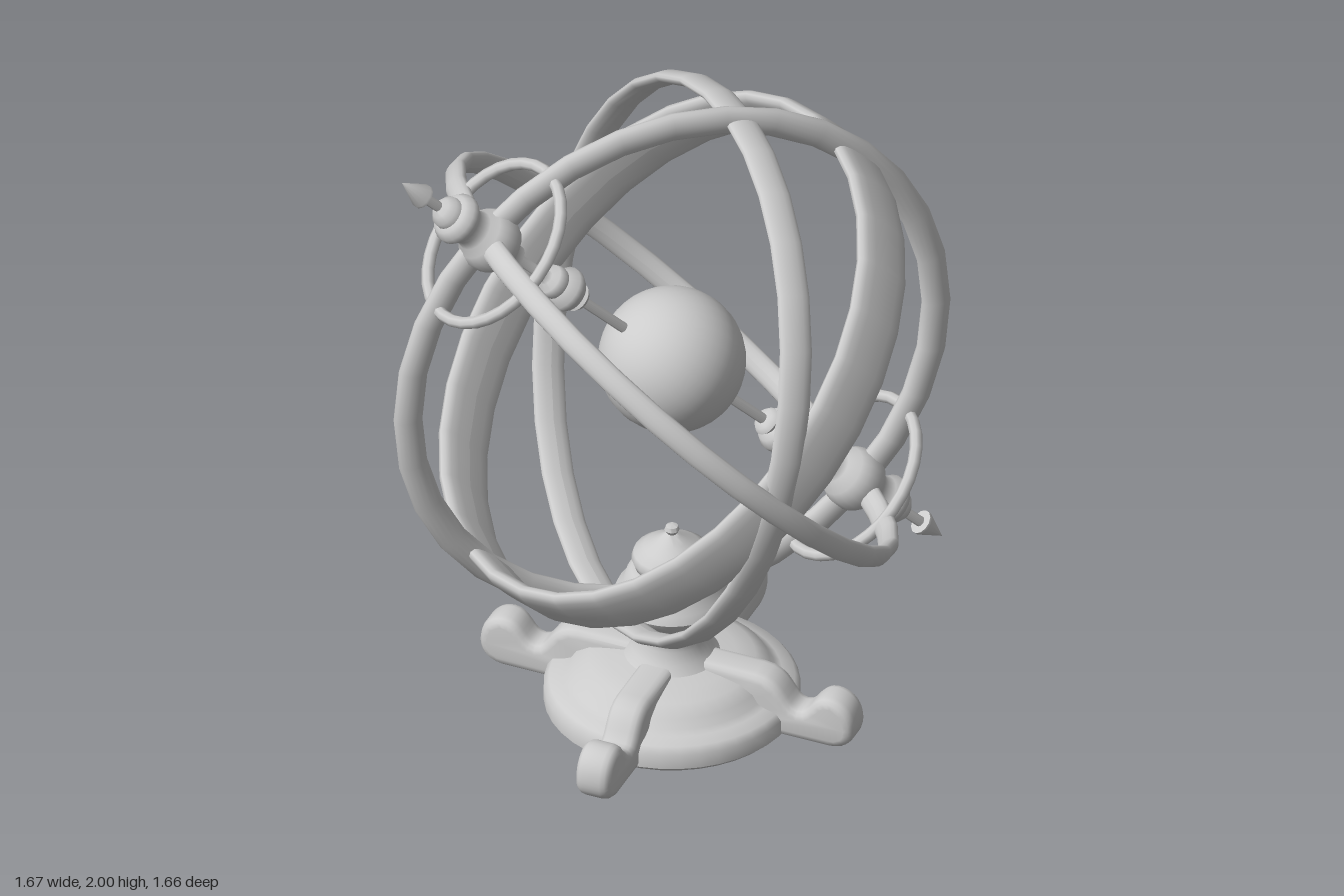
import * as THREE from 'three';
import { toCreasedNormals } from 'three/addons/utils/BufferGeometryUtils.js';

const material = new THREE.MeshStandardMaterial({ color: 0xcccccc });
const CENTRE_Y = 1.165;

function part(name, geometry, parent) {
  const mesh = new THREE.Mesh(geometry, material);
  mesh.name = name;
  parent.add(mesh);
  return mesh;
}

// Turned shape from [radius, height] pairs, listed bottom to top
function turned(pairs, segments = 32, crease = 0.7) {
  const points = pairs.map(([r, y]) => new THREE.Vector2(r, y));
  return toCreasedNormals(new THREE.LatheGeometry(points, segments), crease);
}

// Hoop around y with a rounded section; power below 1 squares the section off
function hoop(outer, thickness, width, power = 1, segments = 32) {
  const soft = (v) => Math.sign(v) * Math.abs(v) ** power;
  const points = [];
  for (let i = 0; i <= 16; i++) {
    const a = -Math.PI + (i / 16) * Math.PI * 2;
    points.push(new THREE.Vector2(
      outer - thickness / 2 + soft(Math.cos(a)) * thickness / 2,
      soft(Math.sin(a)) * width / 2
    ));
  }
  return new THREE.LatheGeometry(points, segments);
}

// Scrolled foot, drawn from the side and given a rounded thickness
function footGeometry() {
  const s = new THREE.Shape();
  s.moveTo(0.1, 0.005);
  s.lineTo(0.5, 0.005);
  s.bezierCurveTo(0.56, 0.01, 0.575, 0.05, 0.57, 0.09);
  s.bezierCurveTo(0.565, 0.14, 0.53, 0.165, 0.495, 0.165);
  s.bezierCurveTo(0.44, 0.165, 0.44, 0.1, 0.4, 0.1);
  s.bezierCurveTo(0.36, 0.1, 0.36, 0.19, 0.27, 0.19);
  s.lineTo(0.1, 0.19);
  s.closePath();
  const g = new THREE.ExtrudeGeometry(s, {
    depth: 0.05, curveSegments: 8, bevelEnabled: true,
    bevelThickness: 0.028, bevelSize: 0.025, bevelOffset: -0.025, bevelSegments: 3
  });
  g.translate(0, 0, -0.025);
  return toCreasedNormals(g, 0.8);
}

export function createModel() {
  const model = new THREE.Group();
  model.name = 'armillarySphere';

  // Pedestal: round plinth, waisted stem and bulb that grips the meridian
  part('pedestal', turned([
    [0, 0], [0.345, 0], [0.36, 0.015], [0.36, 0.06], [0.345, 0.08], [0.31, 0.09],
    [0.29, 0.1], [0.275, 0.125], [0.235, 0.15], [0.18, 0.163], [0.135, 0.17],
    [0.115, 0.195], [0.1, 0.23], [0.098, 0.26], [0.11, 0.295], [0.135, 0.325],
    [0.155, 0.345], [0.165, 0.365], [0.155, 0.39], [0.137, 0.41], [0.128, 0.44],
    [0.115, 0.452], [0.085, 0.455]
  ], 40), model);
  part('pedestalFinial', turned([
    [0.08, 0.45], [0.105, 0.465], [0.114, 0.49], [0.108, 0.51], [0.08, 0.53],
    [0.045, 0.55], [0.025, 0.565], [0.014, 0.572], [0.021, 0.584], [0.017, 0.596], [0, 0.602]
  ], 24), model);

  // Four feet on the diagonals
  const foot = footGeometry();
  for (let i = 0; i < 4; i++) {
    part('foot', foot, model).rotation.y = Math.PI / 4 + (i * Math.PI) / 2;
  }

  // Upright meridian hoop
  const sphere = new THREE.Group();
  sphere.name = 'rings';
  sphere.position.y = CENTRE_Y;
  model.add(sphere);
  part('meridianRing', hoop(0.837, 0.085, 0.056), sphere).rotation.x = Math.PI / 2;

  // Everything below turns with the tilted axis
  const tilted = new THREE.Group();
  tilted.name = 'tiltedAssembly';
  tilted.rotation.z = Math.PI / 4;
  sphere.add(tilted);
  part('globe', new THREE.SphereGeometry(0.208, 32, 24), tilted);
  part('wideBand', hoop(0.805, 0.05, 0.19, 0.75), tilted);
  part('axisRing', hoop(0.83, 0.045, 0.072), tilted).rotation.z = Math.PI / 2;
  part('slantedRing', hoop(0.812, 0.04, 0.1), tilted).rotation.z = Math.PI / 6;

  // Each half of the axis: rod, beads, collar, knob, arrow tip and polar ring
  const rod = turned([
    [0.015, 0.15], [0.015, 0.385], [0.032, 0.388], [0.042, 0.402], [0.032, 0.416],
    [0.052, 0.424], [0.066, 0.447], [0.066, 0.465], [0.046, 0.49], [0.05, 0.505],
    [0.044, 0.525], [0.022, 0.535], [0.015, 0.55], [0.015, 0.655], [0.034, 0.665],
    [0.034, 0.69], [0.045, 0.7], [0.075, 0.725], [0.088, 0.75], [0.09, 0.795],
    [0.078, 0.82], [0.06, 0.84], [0.052, 0.865], [0.06, 0.885], [0.074, 0.905],
    [0.074, 0.925], [0.06, 0.945], [0.048, 0.95], [0.046, 0.968], [0.03, 0.985],
    [0.015, 0.995], [0.015, 1.065]
  ], 20, 0.9);
  const tip = turned([[0, 1.055], [0.036, 1.058], [0.036, 1.066], [0, 1.15]], 12);
  const polar = new THREE.TorusGeometry(0.248, 0.018, 8, 32);
  polar.rotateX(Math.PI / 2);
  for (const turn of [0, Math.PI]) {
    const half = new THREE.Group();
    half.name = turn ? 'lowerAxis' : 'upperAxis';
    half.rotation.x = turn;
    tilted.add(half);
    part('axisRod', rod, half);
    part('arrowTip', tip, half);
    part('polarRing', polar, half).position.y = 0.756;
  }
  return model;
}
